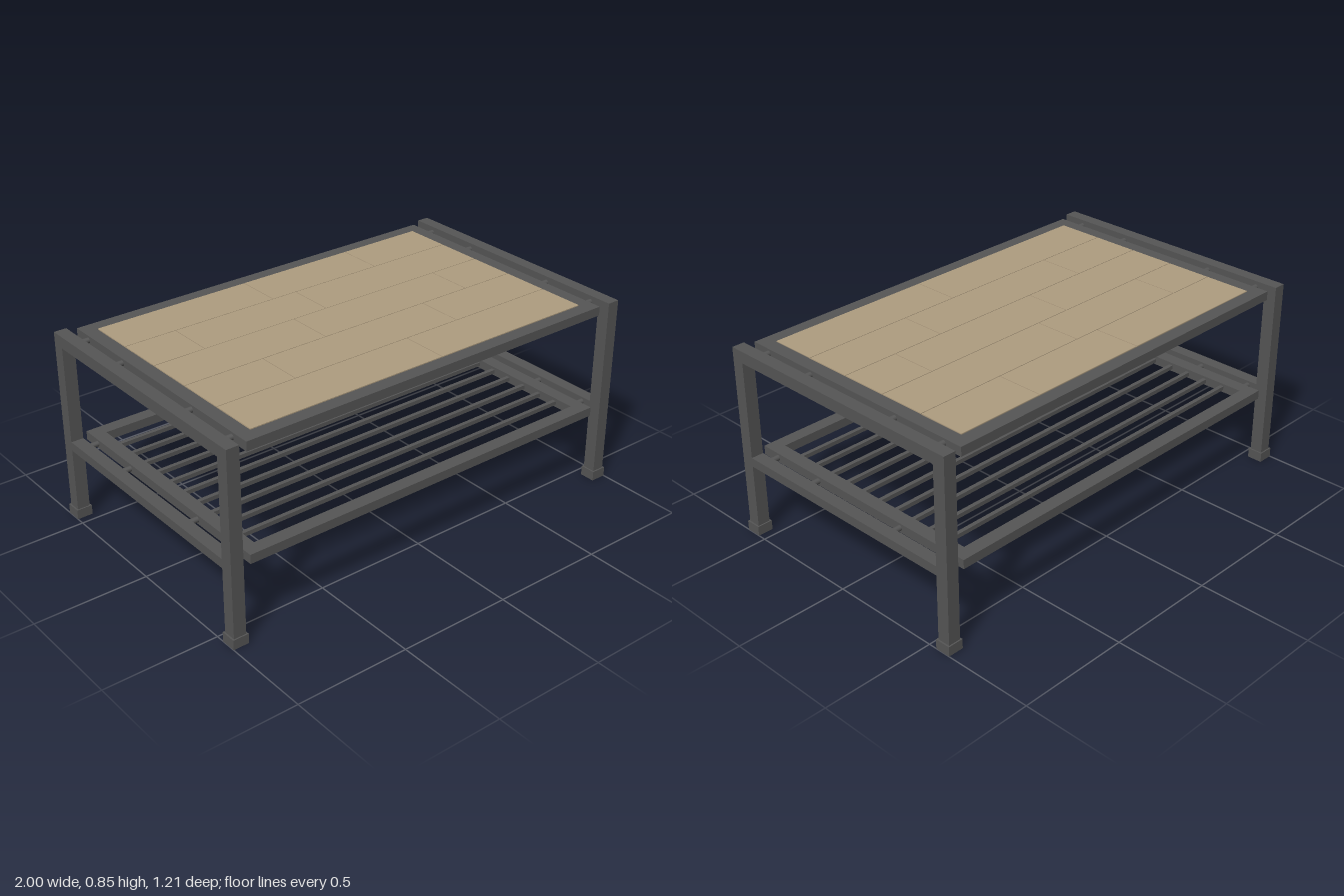
import * as THREE from 'three';

export function createModel() {
  const metal = new THREE.MeshStandardMaterial({ color: 0x555555 });
  metal.name = 'dark grey metal';
  const wood = new THREE.MeshStandardMaterial({ color: 0xae9c7f });
  wood.name = 'tan wood';
  const model = new THREE.Group();
  model.name = 'coffeeTable';

  // Box given by its lower and upper limits on each axis
  const box = (name, parent, mat, [x0, x1], [y0, y1], [z0, z1]) => {
    const mesh = new THREE.Mesh(new THREE.BoxGeometry(x1 - x0, y1 - y0, z1 - z0), mat);
    mesh.position.set((x0 + x1) / 2, (y0 + y1) / 2, (z0 + z1) / 2);
    mesh.name = name;
    parent.add(mesh);
  };

  // Rectangular frame with an open middle
  const frame = (name, y, height) => {
    const rect = (Type, x, z) => new Type([
      new THREE.Vector2(-x, -z), new THREE.Vector2(x, -z),
      new THREE.Vector2(x, z), new THREE.Vector2(-x, z),
    ]);
    const shape = rect(THREE.Shape, 0.897, 0.586);
    shape.holes.push(rect(THREE.Path, 0.837, 0.526));
    const geometry = new THREE.ExtrudeGeometry(shape, { depth: height, bevelEnabled: false });
    geometry.rotateX(-Math.PI / 2);
    const mesh = new THREE.Mesh(geometry, metal);
    mesh.position.y = y;
    mesh.name = name;
    model.add(mesh);
  };
  frame('topFrame', 0.805, 0.04);
  frame('shelfFrame', 0.33, 0.04);

  // End frames: legs, feet, rails and the pins that carry the top and shelf
  for (const side of [-1, 1]) {
    const end = new THREE.Group();
    end.name = side > 0 ? 'leftEnd' : 'rightEnd';
    model.add(end);
    const span = (a, b) => (side > 0 ? [a, b] : [-b, -a]);
    for (const s of [-1, 1]) {
      const depth = (a, b) => (s > 0 ? [a, b] : [-b, -a]);
      box('leg', end, metal, span(0.937, 0.993), [0.02, 0.8], depth(0.543, 0.6));
      box('foot', end, metal, span(0.93, 1), [0, 0.043], depth(0.537, 0.606));
    }
    box('upperRail', end, metal, span(0.937, 0.993), [0.8, 0.852], [-0.6, 0.6]);
    box('lowerRail', end, metal, span(0.937, 0.993), [0.33, 0.37], [-0.543, 0.543]);
    for (const y of [0.825, 0.35]) {
      for (const z of [-0.497, -0.24, 0.24, 0.497]) {
        const pin = new THREE.Mesh(new THREE.CylinderGeometry(0.012, 0.012, 0.06, 16), metal);
        pin.rotation.z = Math.PI / 2;
        pin.position.set(side * 0.917, y, z);
        pin.name = 'connectorPin';
        end.add(pin);
      }
    }
  }

  // Wooden top: a base board with staggered planks, joints as fractions of the length
  const top = new THREE.Group();
  top.name = 'woodenTop';
  model.add(top);
  box('baseBoard', top, wood, [-0.837, 0.837], [0.812, 0.843], [-0.526, 0.526]);
  const joints = [[0.545], [0.215, 0.705], [0.4, 0.85], [0.14, 0.5], [0.43, 0.76]];
  const rowWidth = 1.052 / joints.length, gap = 0.0015;
  joints.forEach((cuts, row) => {
    const z1 = 0.526 - row * rowWidth;
    const ends = [0, ...cuts, 1].map((u) => -0.837 + u * 1.674);
    for (let i = 0; i < ends.length - 1; i++) {
      box('plank', top, wood, [ends[i] + gap, ends[i + 1] - gap], [0.843, 0.848],
        [z1 - rowWidth + gap, z1 - gap]);
    }
  });

  // Shelf slats running lengthwise
  const slats = new THREE.Group();
  slats.name = 'shelfSlats';
  model.add(slats);
  const count = 10;
  for (let i = 0; i < count; i++) {
    const z = -0.526 + (i + 1) * 1.052 / (count + 1);
    box('slat', slats, metal, [-0.84, 0.84], [0.341, 0.359], [z - 0.009, z + 0.009]);
  }
  return model;
}
